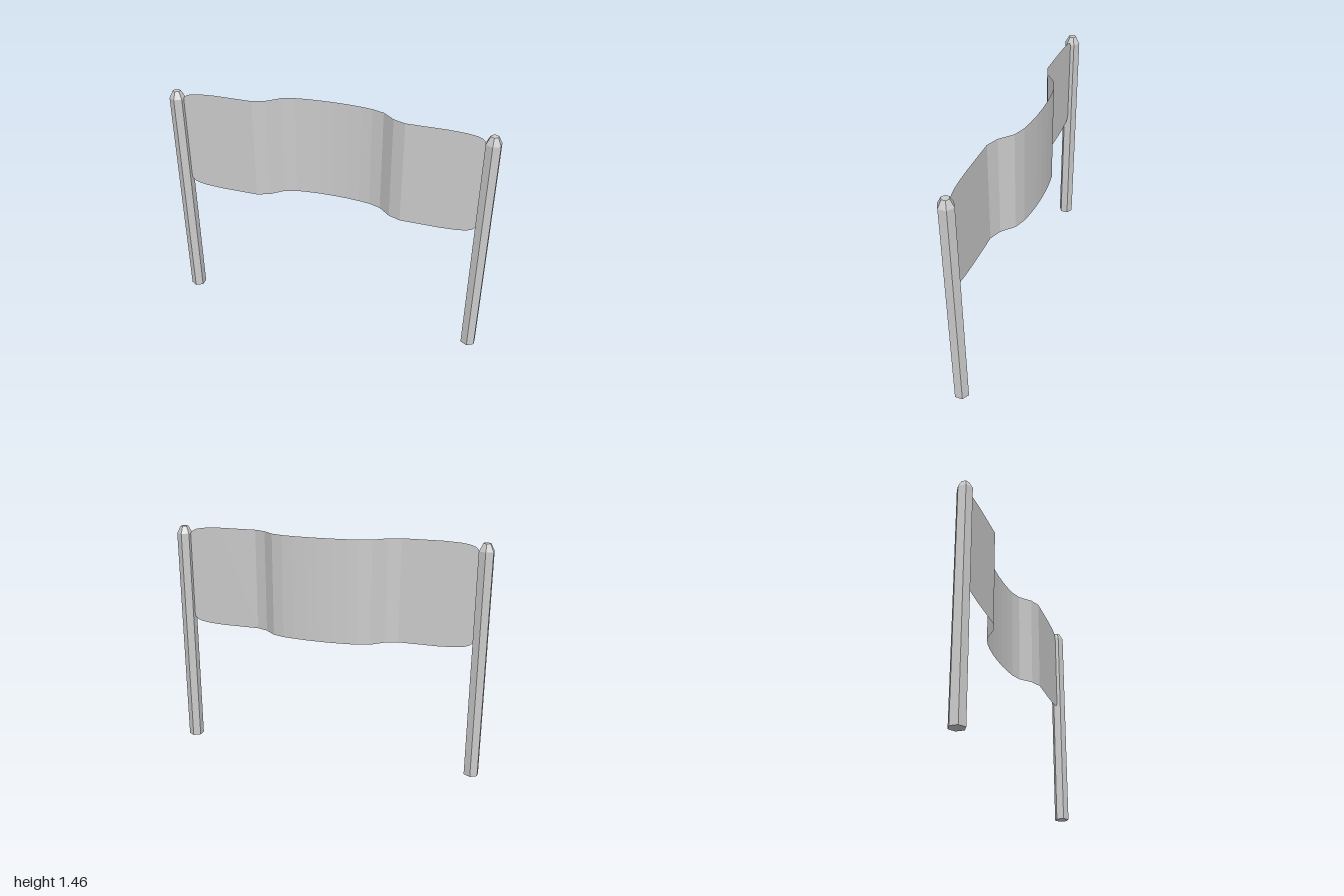
import * as THREE from 'three';

const HEIGHT = 1.455;
const POST_X = 0.958;
const POST_Z = 0.047;

// Hexagonal post with a chamfered top, one corner pointing forward
function makePost(side) {
  const profile = [[0, 0], [0.048, 0], [0.048, 1.41], [0.024, HEIGHT], [0, HEIGHT]]
    .map(([r, y]) => new THREE.Vector2(r, y));
  const post = new THREE.Mesh(
    new THREE.LatheGeometry(profile, 6),
    new THREE.MeshStandardMaterial({ color: 0xcccccc, flatShading: true })
  );
  post.name = side > 0 ? 'leftPost' : 'rightPost';
  post.position.set(side * POST_X, 0, POST_Z);
  return post;
}

// Thin banner: vertical columns follow a bowed profile, with rounded ends
function makeBanner() {
  const midY = 1.135;
  // [x, z, half height] from the end to the middle, mirrored for the other half
  const half = [
    [0.917, 0.047, 0.27], [0.912, 0.047, 0.282], [0.895, 0.047, 0.296],
    [0.865, 0.047, 0.307], [0.81, 0.047, 0.315], [0.71, 0.047, 0.32],
    [0.465, 0.047, 0.32], [0.39, 0.017, 0.32], [0.315, -0.05, 0.32],
    [0.24, -0.076, 0.32], [0.17, -0.086, 0.32], [0.085, -0.093, 0.32]
  ];
  const columns = [
    ...half.map(([x, z, h]) => [-x, z, h]),
    [0, -0.095, 0.32],
    ...half.slice().reverse()
  ];

  const positions = [];
  const indices = [];
  columns.forEach(([x, z, h], i) => {
    positions.push(x, midY - h, z, x, midY + h, z);
    if (i > 0) {
      const a = 2 * (i - 1);
      indices.push(a, a + 2, a + 3, a, a + 3, a + 1);
    }
  });
  const geometry = new THREE.BufferGeometry();
  geometry.setAttribute('position', new THREE.Float32BufferAttribute(positions, 3));
  geometry.setIndex(indices);
  geometry.computeVertexNormals();

  const banner = new THREE.Mesh(geometry, new THREE.MeshStandardMaterial({
    color: 0xcccccc, flatShading: true, side: THREE.DoubleSide
  }));
  banner.name = 'banner';
  return banner;
}

export function createModel() {
  const model = new THREE.Group();
  model.name = 'bannerBetweenPosts';
  for (const side of [-1, 1]) model.add(makePost(side));
  model.add(makeBanner());
  return model;
}
